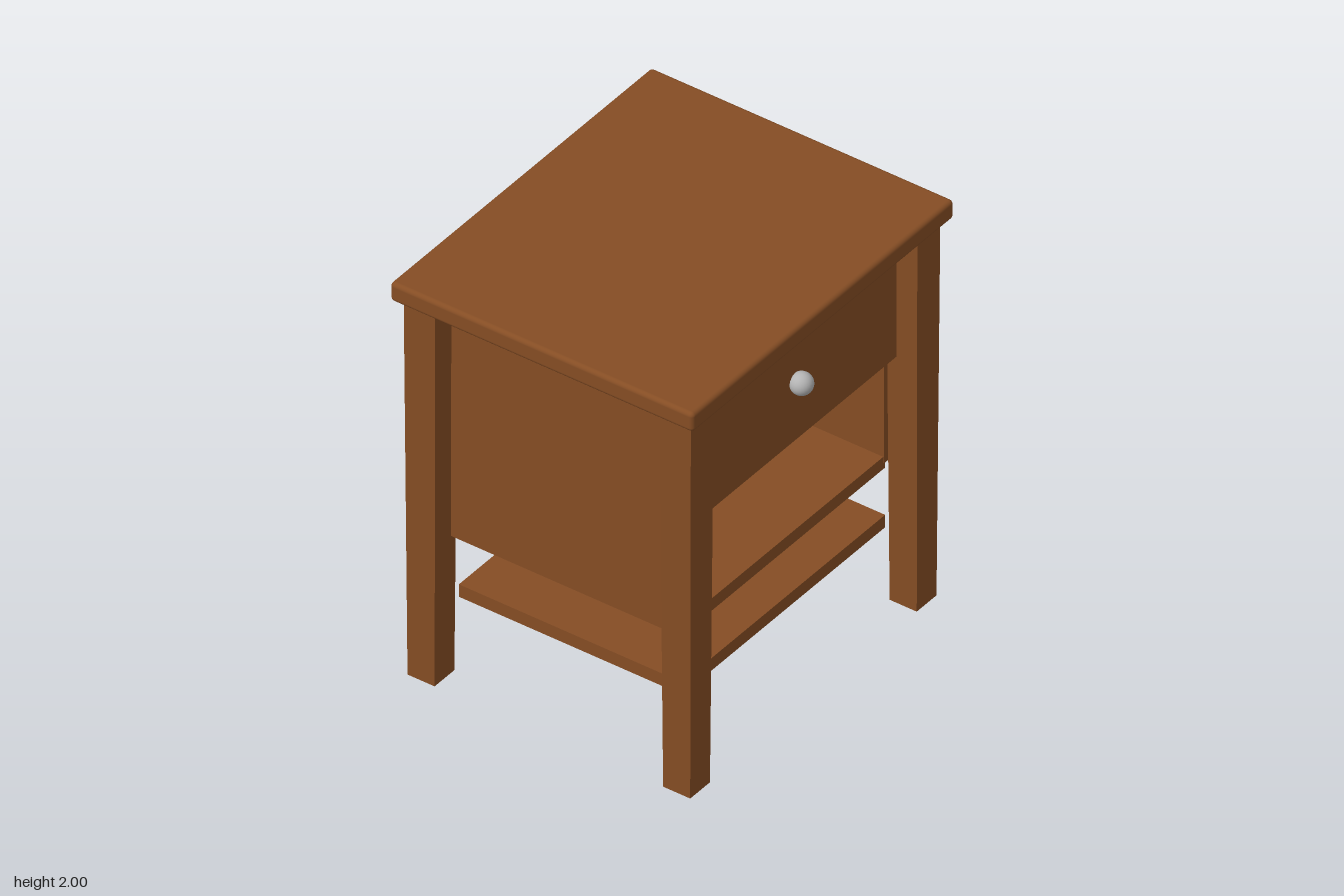
import * as THREE from 'three';
import { RoundedBoxGeometry } from 'three/addons/geometries/RoundedBoxGeometry.js';

export function createModel() {
  const model = new THREE.Group();
  model.name = 'nightstand';

  const wood = new THREE.MeshStandardMaterial({ color: 0x854d24 });
  wood.name = 'brown wood';
  const metal = new THREE.MeshStandardMaterial({ color: 0xb4b4b4 });
  metal.name = 'silver metal';

  const add = (name, geometry, material, x, y, z) => {
    const mesh = new THREE.Mesh(geometry, material);
    mesh.name = name;
    mesh.position.set(x, y, z);
    model.add(mesh);
    return mesh;
  };

  // Box given by its lower and upper corners
  const board = (name, [x0, y0, z0], [x1, y1, z1]) =>
    add(name, new THREE.BoxGeometry(x1 - x0, y1 - y0, z1 - z0), wood,
      (x0 + x1) / 2, (y0 + y1) / 2, (z0 + z1) / 2);

  const TOP_UNDER = 1.905;

  // Table top with softened edges
  add('tableTop', new RoundedBoxGeometry(1.8, 2 - TOP_UNDER, 1.52, 4, 0.02), wood,
    0, (2 + TOP_UNDER) / 2, 0);

  // Square legs, slightly narrower at the foot
  const legGeometry = new THREE.BoxGeometry(0.158, TOP_UNDER, 0.158);
  const corners = legGeometry.attributes.position;
  for (let i = 0; i < corners.count; i++) {
    if (corners.getY(i) < 0) {
      corners.setX(i, corners.getX(i) * 0.86);
      corners.setZ(i, corners.getZ(i) * 0.86);
    }
  }
  legGeometry.computeVertexNormals();
  for (const [side, sx] of [['Left', 1], ['Right', -1]]) {
    for (const [end, sz] of [['front', 1], ['back', -1]]) {
      add(`${end}${side}Leg`, legGeometry, wood, sx * 0.779, TOP_UNDER / 2, sz * 0.641);
    }
  }

  // Cabinet walls
  board('leftPanel', [0.685, 0.705, -0.565], [0.745, TOP_UNDER, 0.565]);
  board('rightPanel', [-0.745, 0.705, -0.565], [-0.685, TOP_UNDER, 0.565]);
  board('backPanel', [-0.705, 0.705, -0.62], [0.705, TOP_UNDER, -0.56]);

  // Cabinet floor and open shelf beneath it
  board('cabinetFloor', [-0.698, 0.673, -0.56], [0.698, 0.735, 0.56]);
  board('lowerShelf', [-0.698, 0.37, -0.56], [0.698, 0.433, 0.56]);

  // Drawer front and round knob
  board('drawerFront', [-0.694, 1.265, 0.56], [0.694, 1.865, 0.62]);
  add('drawerKnob', new THREE.SphereGeometry(0.052, 24, 16), metal, 0, 1.565, 0.65);

  return model;
}
